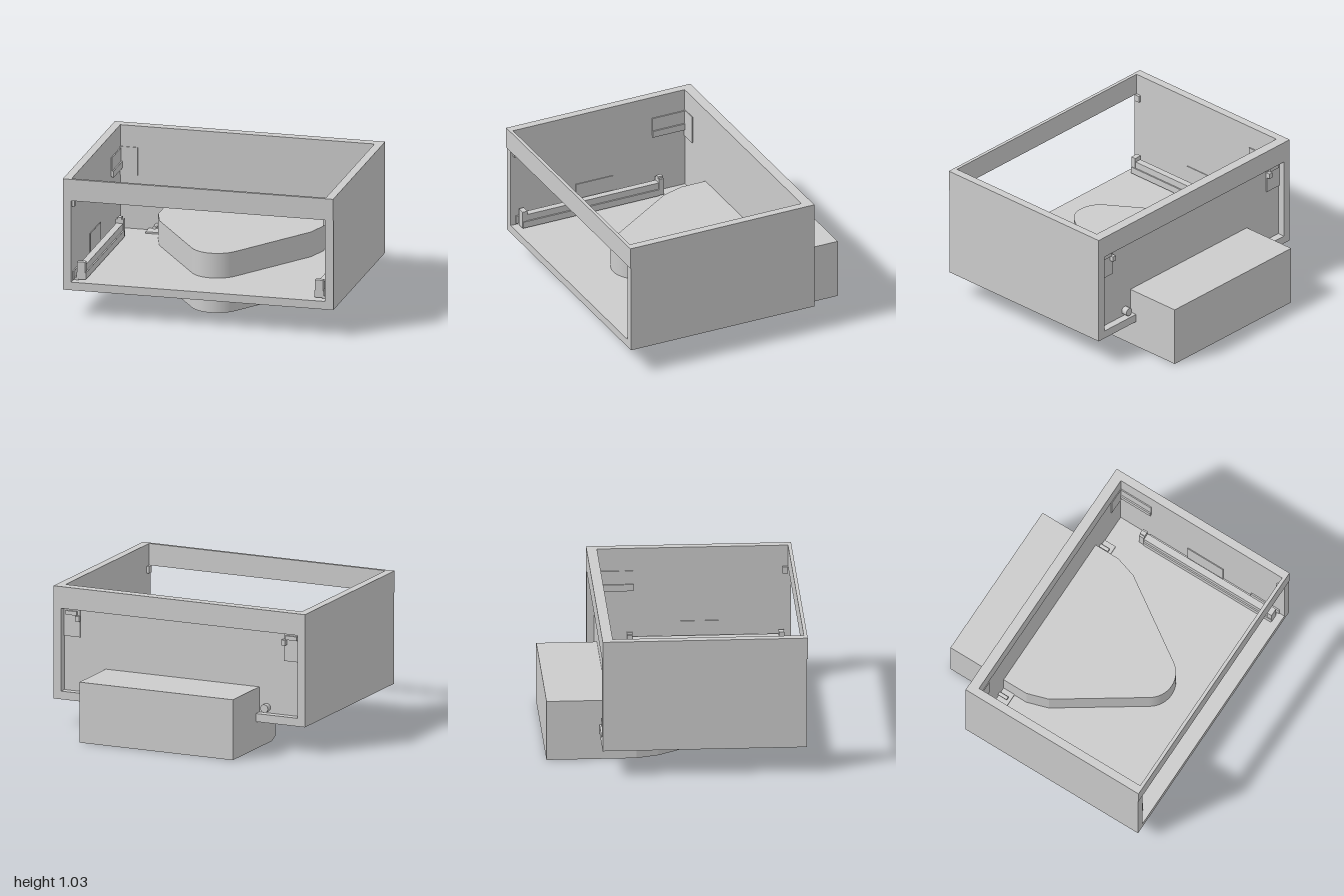
import * as THREE from 'three';

const mat = new THREE.MeshStandardMaterial({ color: 0xcccccc, side: THREE.DoubleSide });

function add(parent, name, geo) {
  const mesh = new THREE.Mesh(geo, mat);
  mesh.name = name;
  parent.add(mesh);
  return mesh;
}

// Box given by its limits on each axis
function box(parent, name, [x0, x1], [y0, y1], [z0, z1]) {
  const mesh = add(parent, name, new THREE.BoxGeometry(Math.abs(x1 - x0), y1 - y0, z1 - z0));
  mesh.position.set((x0 + x1) / 2, (y0 + y1) / 2, (z0 + z1) / 2);
  return mesh;
}

// Upright rectangular frame with a window, extruded along z
function frame(parent, name, z0, z1) {
  const s = new THREE.Shape();
  s.moveTo(-1, 0.2).lineTo(1, 0.2).lineTo(1, 1.03).lineTo(-1, 1.03).closePath();
  const h = new THREE.Path();
  h.moveTo(-0.94, 0.26).lineTo(-0.94, 0.87).lineTo(0.94, 0.87).lineTo(0.94, 0.26).closePath();
  s.holes.push(h);
  const geo = new THREE.ExtrudeGeometry(s, { depth: z1 - z0, bevelEnabled: false });
  geo.translate(0, 0, z0);
  return add(parent, name, geo);
}

// Wedge block with a rounded nose, passing through the floor and out of the back
function noseBlock(parent) {
  const r = 0.192, cz = 0.373, a = Math.atan2(0.555, 0.832);
  const s = new THREE.Shape();
  s.moveTo(-0.61, 0.925).lineTo(-0.61, 0.28).lineTo(-0.56, 0.12);
  s.lineTo(-r * Math.cos(a), -cz - r * Math.sin(a));
  s.absarc(0, -cz, r, Math.PI + a, 2 * Math.PI - a, false);
  s.lineTo(0.56, 0.12).lineTo(0.61, 0.28).lineTo(0.61, 0.925).closePath();
  const geo = new THREE.ExtrudeGeometry(s, { depth: 0.445, bevelEnabled: false, curveSegments: 24 });
  geo.rotateX(-Math.PI / 2);
  add(parent, 'noseBlock', geo);
}

function peg(parent, name, x, y, z0, z1, r) {
  const geo = new THREE.CylinderGeometry(r, r, z1 - z0, 20);
  geo.rotateX(Math.PI / 2);
  add(parent, name, geo).position.set(x, y, (z0 + z1) / 2);
}

// Fittings on one side; s is +1 for left, -1 for right
function sideFittings(s) {
  const g = new THREE.Group();
  g.name = s > 0 ? 'leftFittings' : 'rightFittings';
  const b = (name, x0, x1, y, z) => box(g, name, [s * x0, s * x1], y, z);

  // Slide rail standing on the floor beside the wall
  b('railFoot', 0.845, 0.915, [0.27, 0.32], [-0.22, 0.865]);
  b('railBar', 0.855, 0.905, [0.32, 0.37], [-0.22, 0.865]);
  b('railEndCap', 0.85, 0.91, [0.27, 0.4], [0.83, 0.868]);
  b('railRearCap', 0.85, 0.91, [0.27, 0.4], [-0.26, -0.22]);
  b('railRearTab', 0.865, 0.895, [0.4, 0.415], [-0.26, -0.22]);
  b('railMount', 0.9, 0.945, [0.262, 0.28], [-0.22, 0.86]);

  // Thin plates on the inside of the wall
  b('wallPlate', 0.934, 0.945, [0.27, 0.47], [0.1, 0.4]);
  b('frontWallPlate', 0.93, 0.945, [0.27, 0.33], [0.64, 0.88]);
  b('frontCatch', 0.92, 0.945, [0.82, 0.87], [0.86, 0.9]);

  // Rear corner bracket: plate through the panel and an arm along the wall
  b('bracketPlate', 0.81, 0.942, [0.66, 0.87], [-0.5, -0.464]);
  b('bracketArm', 0.932, 0.945, [0.72, 0.86], [-0.47, -0.21]);
  b('bracketRib', 0.922, 0.935, [0.71, 0.76], [-0.47, -0.21]);
  b('bracketHook', 0.805, 0.835, [0.78, 0.82], [-0.53, -0.5]);
  b('bracketClip', 0.83, 0.92, [0.82, 0.85], [-0.515, -0.5]);

  // Floor pad with its locating pegs
  b('pegPad', 0.605, 0.73, [0.255, 0.272], [-0.475, -0.38]);
  peg(g, 'innerPeg', s * 0.67, 0.3, -0.48, -0.4, 0.013);
  peg(g, 'outerPeg', s * 0.67, 0.3, -0.535, -0.48, 0.03);
  return g;
}

export function createModel() {
  const model = new THREE.Group();
  model.name = 'openCase';

  // Case: floor, side walls, front and back frames, recessed back panel
  const shell = new THREE.Group();
  shell.name = 'shell';
  model.add(shell);
  box(shell, 'floor', [-1, 1], [0.2, 0.26], [-0.47, 0.9]);
  box(shell, 'leftWall', [0.94, 1], [0.26, 1.03], [-0.47, 0.9]);
  box(shell, 'rightWall', [-1, -0.94], [0.26, 1.03], [-0.47, 0.9]);
  frame(shell, 'frontFrame', 0.9, 0.92);
  box(shell, 'frontLip', [-1, 1], [0.87, 1.03], [0.92, 0.925]);
  frame(shell, 'backFrame', -0.545, -0.47);
  box(shell, 'backPanel', [-0.94, 0.94], [0.26, 0.87], [-0.49, -0.473]);

  noseBlock(model);
  for (const s of [1, -1]) model.add(sideFittings(s));
  return model;
}
